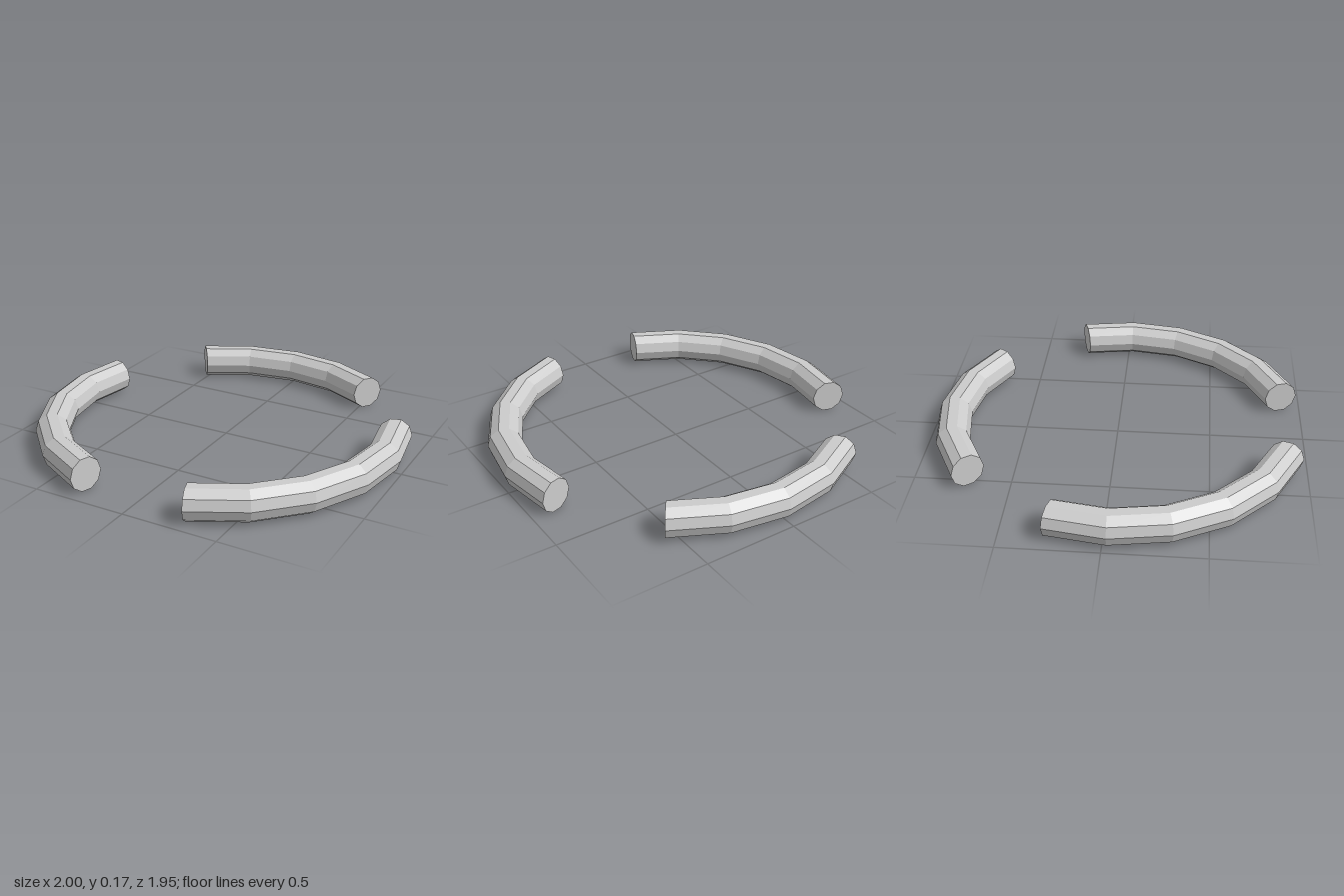
import * as THREE from 'three';
import { mergeGeometries } from 'three/addons/utils/BufferGeometryUtils.js';

const TUBE = 0.09;           // tube radius
const RING = 1 - TUBE;       // ring centreline radius
const SIDES = 10;            // sides of the tube
const STEP = Math.PI / 10;   // the full ring has 20 segments

// Capped piece of the ring, from segment `start` (0 = +x, turning to +z)
function ringPiece(start, count) {
  const arc = count * STEP;
  const tube = new THREE.TorusGeometry(RING, TUBE, SIDES, count, arc);
  const startCap = new THREE.CircleGeometry(TUBE, SIDES)
    .rotateX(Math.PI / 2).translate(RING, 0, 0);
  const endCap = new THREE.CircleGeometry(TUBE, SIDES)
    .rotateX(-Math.PI / 2).translate(RING, 0, 0).rotateZ(arc);
  return mergeGeometries([tube, startCap, endCap])
    .rotateZ(start * STEP).rotateX(Math.PI / 2);
}

export function createModel() {
  const model = new THREE.Group();
  model.name = 'brokenRing';
  const material = new THREE.MeshStandardMaterial({ color: 0xcccccc, flatShading: true });

  // Three arcs separated by gaps: name, first segment, segment count
  const pieces = [
    ['leftArc', -1, 5],
    ['rightArc', 6, 5],
    ['backArc', 13, 4],
  ];
  for (const [name, start, count] of pieces) {
    const mesh = new THREE.Mesh(ringPiece(start, count), material);
    mesh.name = name;
    // Rest on the ground; the open front shifts the ring's centre slightly
    mesh.position.set(0, TUBE * Math.sin(2 * Math.PI * 0.2), 0.024);
    model.add(mesh);
  }
  return model;
}
